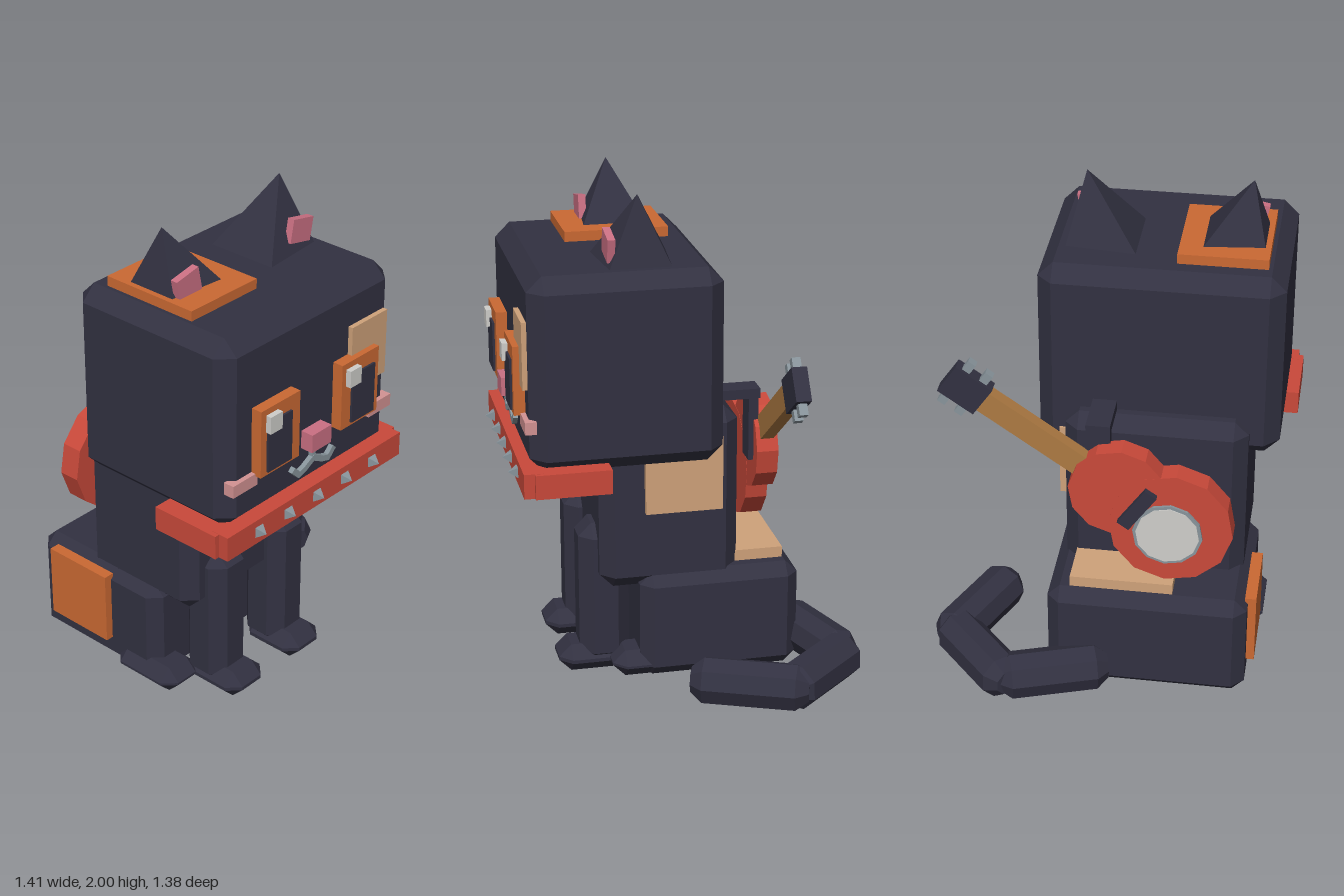
import * as THREE from 'three';
import { ConvexGeometry } from 'three/addons/geometries/ConvexGeometry.js';

const paint = (name, color) => {
  const m = new THREE.MeshStandardMaterial({ color });
  m.name = name;
  return m;
};

export function createModel() {
  const fur = paint('dark fur', 0x323141);
  const red = paint('red', 0xc9493a);
  const orange = paint('orange', 0xcb6933);
  const tan = paint('tan', 0xcfa27a);
  const pink = paint('pink', 0xcb7083);
  const blush = paint('blush', 0xd39393);
  const grey = paint('metal grey', 0x88949b);
  const pale = paint('pale grey', 0xcfcecb);
  const wood = paint('wood', 0xad7a42);

  const cat = new THREE.Group();
  cat.name = 'cat';
  const MID = -0.175; // mirror plane of head and body

  // Adds a faceted mesh
  function add(name, geometry, material, parent = cat) {
    const g = geometry.index ? geometry.toNonIndexed() : geometry;
    g.computeVertexNormals();
    const mesh = new THREE.Mesh(g, material);
    mesh.name = name;
    parent.add(mesh);
    return mesh;
  }

  // Plain box given by its limits on each axis
  function box(name, material, [x0, x1], [y0, y1], [z0, z1], parent = cat) {
    const m = add(name, new THREE.BoxGeometry(x1 - x0, y1 - y0, z1 - z0), material, parent);
    m.position.set((x0 + x1) / 2, (y0 + y1) / 2, (z0 + z1) / 2);
    return m;
  }

  // Box with flat chamfers of width c
  function chamferBox(name, material, [x0, x1], [y0, y1], [z0, z1], c) {
    const h = [(x1 - x0) / 2, (y1 - y0) / 2, (z1 - z0) / 2];
    const pts = [];
    for (const sx of [-1, 1]) for (const sy of [-1, 1]) for (const sz of [-1, 1])
      for (let out = 0; out < 3; out++) {
        const p = h.map((v, i) => (i === out ? v : v - c));
        pts.push(new THREE.Vector3(p[0] * sx, p[1] * sy, p[2] * sz));
      }
    const m = add(name, new ConvexGeometry(pts), material);
    m.position.set((x0 + x1) / 2, (y0 + y1) / 2, (z0 + z1) / 2);
    return m;
  }

  // Head, torso and hips
  chamferBox('head', fur, [-0.65, 0.3], [0.95, 1.73], [-0.16, 0.6], 0.06);
  chamferBox('torso', fur, [-0.535, 0.185], [0.395, 1.13], [-0.245, 0.315], 0.055);
  chamferBox('hips', fur, [-0.572, 0.225], [0.01, 0.46], [-0.49, 0.16], 0.05);

  // Front legs and all paws
  for (const x of [-0.35, -0.002]) {
    chamferBox('frontLeg', fur, [x - 0.1, x + 0.1], [0.03, 0.64], [0.18, 0.385], 0.053);
    chamferBox('frontPaw', fur, [x - 0.105, x + 0.105], [0, 0.115], [0.2, 0.472], 0.05);
  }
  for (const x of [-0.51, 0.115])
    chamferBox('rearPaw', fur, [x - 0.1, x + 0.1], [0.01, 0.12], [-0.05, 0.27], 0.05);

  // Tail: chain of eight-sided segments with tapered ends
  const tailPath = [
    [[-0.02, -0.49], [0.4, -0.63]],
    [[0.35, -0.66], [0.65, -0.33]],
    [[0.645, -0.42], [0.465, 0.012]],
  ];
  for (const [[ax, az], [bx, bz]] of tailPath) {
    const dir = new THREE.Vector3(bx - ax, 0, bz - az);
    const len = dir.length(), r = 0.096;
    const profile = [[0, 0], [0.055, 0], [r, 0.05], [r, len - 0.05], [0.055, len], [0, len]]
      .map(([x, y]) => new THREE.Vector2(x, y));
    const seg = add('tailSegment', new THREE.LatheGeometry(profile, 8, Math.PI / 8), fur);
    seg.position.set(ax, 0.12, az);
    seg.quaternion.setFromUnitVectors(new THREE.Vector3(0, 1, 0), dir.normalize());
  }

  // Ears: skewed pyramids with tilted pink plates
  for (const s of [1, -1]) {
    const corners = [
      [0.105, 1.72, 0], [0.39, 1.72, 0.03], [0.39, 1.72, 0.28], [0.105, 1.72, 0.307], [0.32, 2, 0.155],
    ].map(([x, y, z]) => new THREE.Vector3(MID + s * x, y, z));
    add('ear', new ConvexGeometry(corners), fur);
    const inner = add('innerEar', new THREE.BoxGeometry(0.115, 0.095, 0.03), pink);
    inner.position.set(MID + s * 0.31, 1.807, 0.265);
    inner.rotation.z = -s * 0.2;
  }

  // Coat patches
  box('earPatch', orange, [-0.575, -0.227], [1.72, 1.77], [-0.045, 0.372]);
  box('facePatch', tan, [0.03, 0.235], [1.285, 1.553], [0.58, 0.62]);
  box('sidePatch', tan, [0.17, 0.213], [0.725, 1.03], [-0.17, 0.14]);
  box('rumpPatch', tan, [-0.275, 0.135], [0.45, 0.505], [-0.437, -0.24]);
  box('hipPatch', orange, [-0.605, -0.56], [0.13, 0.435], [-0.39, -0.08]);

  // Eyes
  for (const [x, pupil, glint] of [[-0.402, -0.412, -0.45], [0.053, 0.065, 0]]) {
    box('eye', orange, [x - 0.107, x + 0.107], [1.16, 1.437], [0.58, 0.645]);
    box('pupil', fur, [pupil - 0.066, pupil + 0.066], [1.175, 1.38], [0.62, 0.654]);
    box('eyeGlint', pale, [glint - 0.032, glint + 0.032], [1.342, 1.412], [0.63, 0.668]);
  }

  // Nose, cheeks and mouth
  box('nose', pink, [-0.23, -0.12], [1.145, 1.22], [0.58, 0.654]);
  box('mouthStem', grey, [MID - 0.01, MID + 0.01], [1.08, 1.15], [0.59, 0.618]);
  for (const s of [1, -1]) {
    const cheek = MID + s * 0.388;
    box('cheek', blush, [cheek - 0.066, cheek + 0.066], [1.12, 1.17], [0.575, 0.62]);
    const lip = [[0, 1.087], [0.05, 1.06], [0.085, 1.05], [0.115, 1.08]];
    for (let i = 0; i < 3; i++) {
      const [ax, ay] = lip[i], [bx, by] = lip[i + 1];
      const m = add('mouthCurve',
        new THREE.BoxGeometry(Math.hypot(bx - ax, by - ay) + 0.01, 0.024, 0.03), grey);
      m.position.set(MID + s * (ax + bx) / 2, (ay + by) / 2, 0.605);
      m.rotation.z = s * Math.atan2(by - ay, bx - ax);
    }
  }

  // Collar: open at the back, with pyramid studs
  box('collarFront', red, [-0.678, 0.33], [0.88, 0.98], [0.56, 0.637]);
  for (const s of [1, -1]) {
    const x = MID + s * 0.473;
    box('collarSide', red, [x - 0.05, x + 0.05], [0.881, 0.979], [0.297, 0.595]);
  }
  for (let i = -2; i <= 2; i++) {
    const stud = add('collarStud',
      new THREE.ConeGeometry(0.031, 0.038, 4).rotateY(Math.PI / 4).rotateX(Math.PI / 2), grey);
    stud.position.set(MID + i * 0.165, 0.93, 0.655);
  }

  // Hook that holds the instrument on the back
  box('hookArm', fur, [-0.015, 0.08], [1.13, 1.17], [-0.352, -0.1]);
  box('hookPlate', fur, [-0.015, 0.08], [0.87, 1.17], [-0.345, -0.305]);

  // Guitar: local x runs along the neck, local -z faces backwards
  const guitar = new THREE.Group();
  guitar.name = 'guitar';
  guitar.position.set(-0.26, 0.762, -0.37);
  guitar.rotation.z = 0.61;
  cat.add(guitar);
  const disc = (name, material, r, depth, x, y, z, sides) => {
    const m = add(name, new THREE.CylinderGeometry(r, r, depth, sides).rotateX(Math.PI / 2), material, guitar);
    m.position.set(x, y, z);
  };
  disc('guitarLowerBody', red, 0.245, 0.09, 0, 0, 0, 12);
  disc('guitarUpperBody', red, 0.193, 0.088, 0.255, 0, 0, 12);
  disc('soundRing', grey, 0.138, 0.02, -0.005, -0.025, -0.046, 12);
  disc('soundDisc', pale, 0.125, 0.02, -0.005, -0.025, -0.05, 12);
  box('bridge', fur, [0.13, 0.185], [-0.095, 0.095], [-0.07, -0.03], guitar);
  box('guitarNeck', wood, [0.36, 0.91], [-0.047, 0.047], [-0.027, 0.027], guitar);
  box('headstock', fur, [0.885, 1.05], [-0.07, 0.065], [-0.03, 0.03], guitar);
  for (const x of [0.93, 1.008]) for (const s of [1, -1])
    box('tuningPeg', grey, [x - 0.017, x + 0.017],
      s > 0 ? [0.05, 0.11] : [-0.115, -0.055], [-0.017, 0.017], guitar);

  return cat;
}
